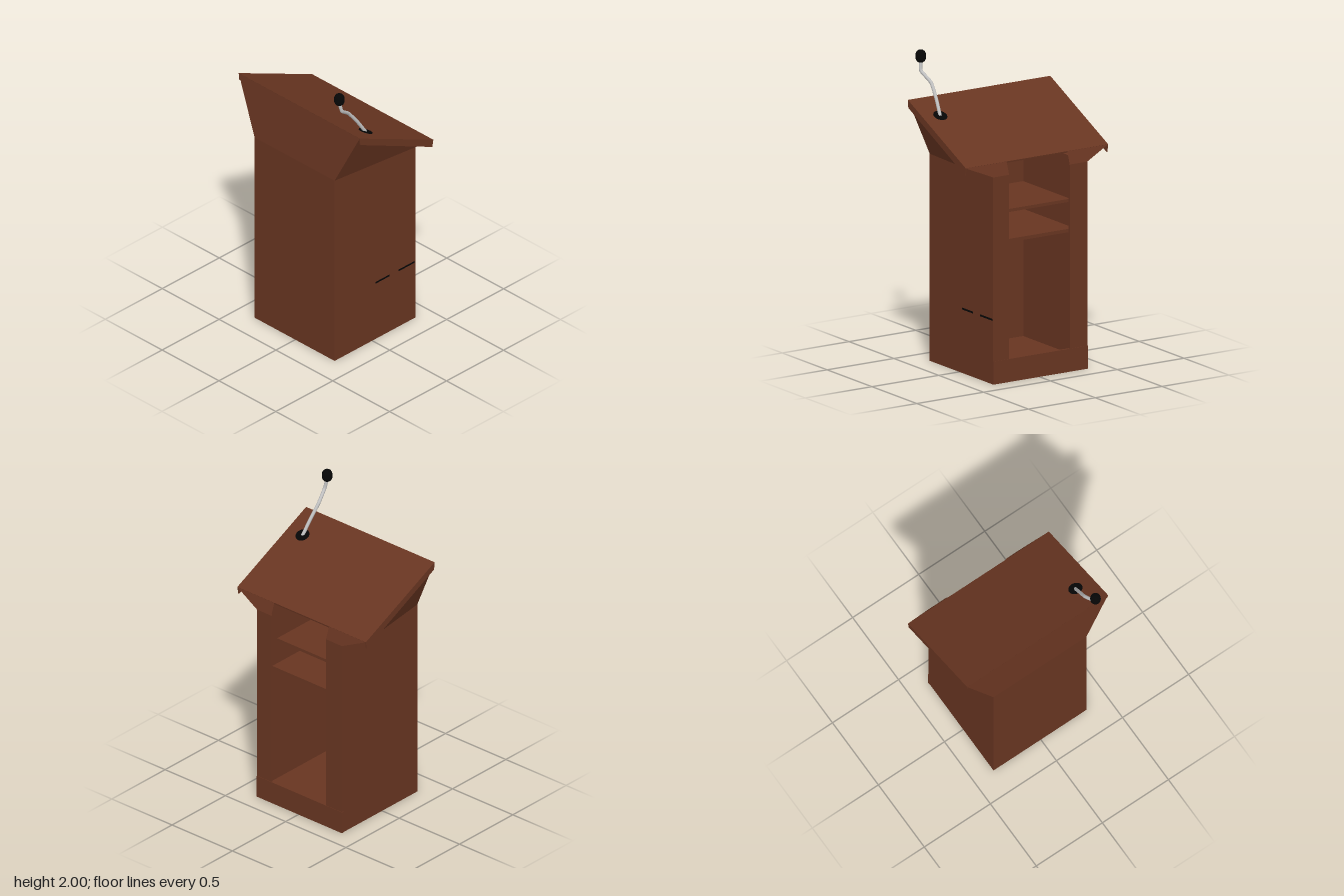
import * as THREE from 'three';

export function createModel() {
  const model = new THREE.Group();
  model.name = 'lectern';

  const material = (name, color) => {
    const m = new THREE.MeshStandardMaterial({ color });
    m.name = name;
    return m;
  };
  const wood = material('brown wood', 0x683521);
  wood.side = THREE.DoubleSide;
  const metal = material('grey metal', 0xc0c0c0);
  const black = material('black', 0x060606);

  const add = (name, geometry, mat) => {
    const mesh = new THREE.Mesh(geometry, mat);
    mesh.name = name;
    model.add(mesh);
    return mesh;
  };

  // A side profile of [z, y] points, extruded across between two x positions
  const board = (name, profile, xa, xb, mat = wood) => {
    const shape = new THREE.Shape(profile.map(([z, y]) => new THREE.Vector2(-z, y)));
    const geo = new THREE.ExtrudeGeometry(shape, { depth: Math.abs(xb - xa), bevelEnabled: false });
    geo.rotateY(Math.PI / 2);
    geo.translate(Math.min(xa, xb), 0, 0);
    return add(name, geo, mat);
  };
  const rect = (z0, z1, y0, y1) => [[z0, y0], [z1, y0], [z1, y1], [z0, y1]];

  // A thin sheet through a loop of [x, y, z] corners, fanned from the first
  const sheet = (name, corners) => {
    const points = [];
    for (let i = 1; i < corners.length - 1; i++)
      points.push(...corners[0], ...corners[i], ...corners[i + 1]);
    const geo = new THREE.BufferGeometry();
    geo.setAttribute('position', new THREE.Float32BufferAttribute(points, 3));
    geo.computeVertexNormals();
    return add(name, geo, wood);
  };

  const left = 0.346, right = -0.358, inner = 0.227, wide = 0.532;
  const front = 0.33, back = -0.378, wall = 0.01, shoulder = 1.33;
  const topFront = [1.709, 0.295], topBack = [1.409, -0.35];

  for (const s of [-1, 1]) {
    const x = s > 0 ? left : right;

    // Cabinet side and the post beside the open back
    board('cabinetSide', rect(back, front, 0, shoulder), x - s * wall, x);
    board('backPost', rect(back, back + 0.012, 0, shoulder), s * inner, x - s * wall);

    // Flared wing that carries the wide top, closed at the back
    sheet('flaredWing', [
      [x, shoulder, front], [x, shoulder, back], [s * wide, ...topBack], [s * wide, ...topFront],
    ]);
    sheet('wingBack', [
      [x, shoulder, back], [s * wide, ...topBack], [s * inner, ...topBack], [s * inner, shoulder, back],
    ]);

    // Lip hanging along the edge of the top
    board('topLip', [[0.295, 1.71], [-0.35, 1.41], [-0.342, 1.36], [0.29, 1.66]],
      s * (wide - 0.006), s * (wide + 0.001));
  }

  // Front panel and its flared upper part
  board('frontPanel', rect(front - wall, front, 0, shoulder), right + wall, left - wall);
  sheet('frontFlare', [
    [right, shoulder, front], [left, shoulder, front], [wide, ...topFront], [-wide, ...topFront],
  ]);

  // Threshold of the open back, thin floor behind it
  board('threshold', rect(back - 0.002, back + 0.012, 0, 0.148), right - 0.003, left);
  board('cabinetFloor', rect(back + 0.012, front - wall, 0.045, 0.06), right + wall, left - wall);

  // Shelves set back inside the cabinet
  board('lowerShelf', rect(-0.245, front - wall, 0.855, 0.877), right + wall, left - wall);
  board('upperShelf', rect(-0.20, front - wall, 1.035, 1.055), right + wall, left - wall);

  // Sloping reading surface
  board('readingTop', [[0.295, 1.71], [-0.35, 1.41], [-0.348, 1.4], [0.293, 1.698]], -wide, wide);

  // Thin dark slots on the side
  for (const [z0, z1] of [[-0.15, -0.03], [-0.37, -0.23]])
    board('sideSlot', rect(z0, z1, 0.408, 0.42), left - 0.002, left + 0.001, black);

  // Microphone: tilted base, bent neck and rounded head
  const base = add('microphoneBase', new THREE.CylinderGeometry(0.045, 0.045, 0.006, 24), black);
  base.position.set(0.408, 1.629, 0.12);
  base.rotation.x = -Math.atan2(0.30, 0.645);

  const path = new THREE.CatmullRomCurve3([
    [0.408, 1.625, 0.12], [0.397, 1.72, 0.18], [0.389, 1.81, 0.25],
    [0.411, 1.872, 0.33], [0.403, 1.935, 0.345],
  ].map((p) => new THREE.Vector3(...p)), false, 'catmullrom', 0.25);
  add('microphoneNeck', new THREE.TubeGeometry(path, 32, 0.011, 10), metal);

  const head = add('microphoneHead', new THREE.CapsuleGeometry(0.033, 0.018, 6, 20), black);
  head.position.set(0.403, 1.962, 0.345);

  return model;
}
